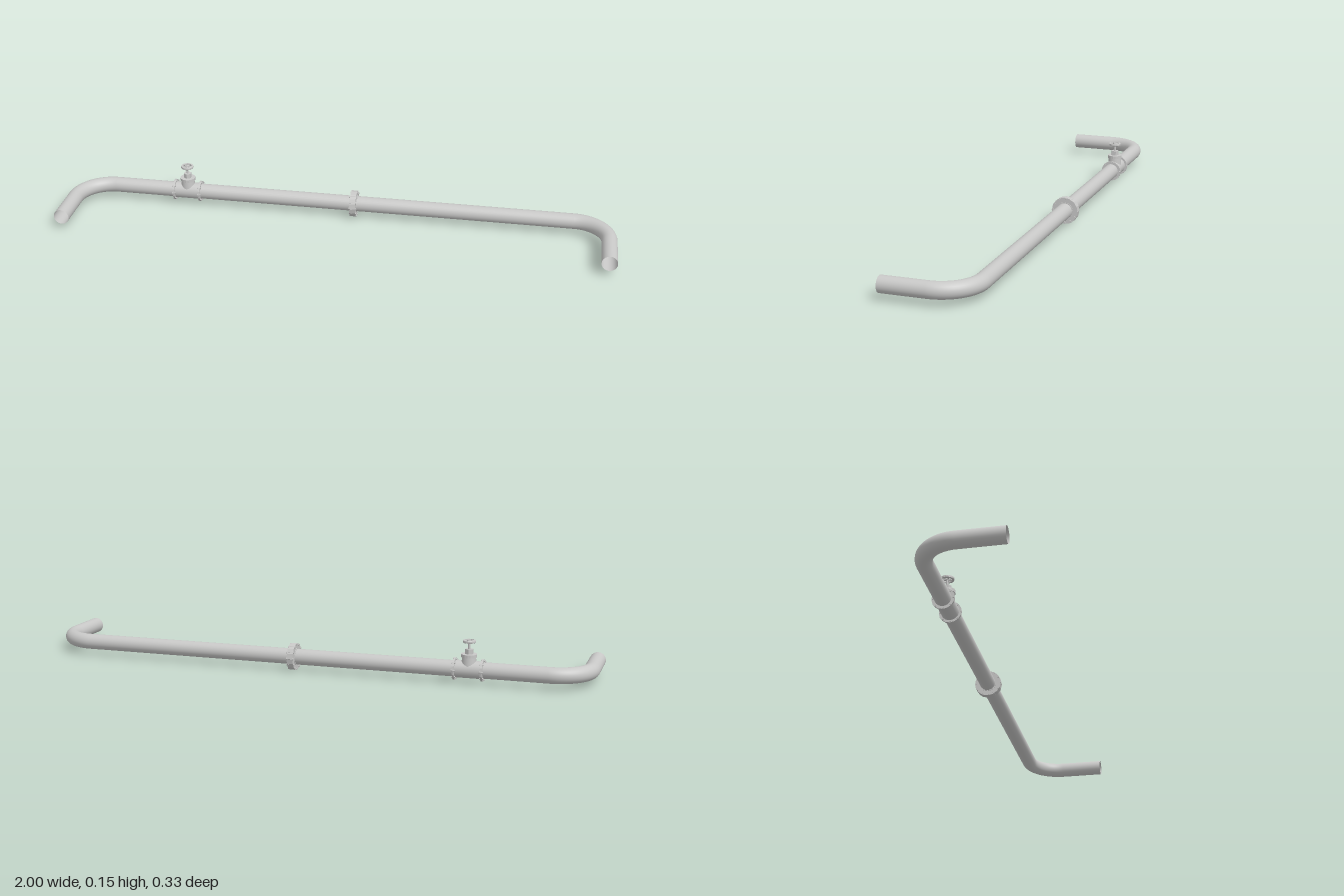
import * as THREE from 'three';

const Y = 0.049, Z = -0.116, R = 0.0278, END = 0.165, LEG = 0.972, BEND = 0.125;

export function createModel() {
  const model = new THREE.Group();
  model.name = 'pipeRun';
  const steel = new THREE.MeshStandardMaterial({ color: 0xc8c8c7, side: THREE.DoubleSide });
  steel.name = 'steel grey';

  const add = (parent, name, geometry, x = 0, y = 0, z = 0) => {
    const mesh = new THREE.Mesh(geometry, steel);
    mesh.name = name;
    mesh.position.set(x, y, z);
    parent.add(mesh);
    return mesh;
  };
  const cyl = (rTop, rBottom, h, sides, open = false) =>
    new THREE.CylinderGeometry(rTop, rBottom, h, sides, 1, open);
  const alongX = (g) => g.rotateZ(-Math.PI / 2);
  // Flat facets for the machined fittings
  const faceted = (g) => {
    const flat = g.toNonIndexed();
    flat.computeVertexNormals();
    return flat;
  };

  // Open-ended pipe: straight run, quarter bends and two forward legs
  const straight = LEG - BEND;
  add(model, 'straightPipe', alongX(cyl(R, R, straight * 2, 28, true)), 0, Y, Z);
  for (const side of [-1, 1]) {
    const name = side > 0 ? 'left' : 'right';
    const k = BEND * 0.5523;
    const arc = new THREE.CubicBezierCurve3(
      new THREE.Vector3(side * straight, Y, Z),
      new THREE.Vector3(side * (straight + k), Y, Z),
      new THREE.Vector3(side * LEG, Y, Z + BEND - k),
      new THREE.Vector3(side * LEG, Y, Z + BEND));
    add(model, name + 'Bend', new THREE.TubeGeometry(arc, 16, R, 28));
    const legLength = END - Z - BEND;
    add(model, name + 'Leg', cyl(R, R, legLength, 28, true).rotateX(Math.PI / 2),
      side * LEG, Y, END - legLength / 2);
  }

  // Ring of hexagonal bolts running through a flange
  const bolts = (parent, count, ringRadius, radius, length) => {
    for (let i = 0; i < count; i++) {
      const a = (i / count) * Math.PI * 2;
      add(parent, 'flangeBolt', faceted(alongX(cyl(radius, radius, length, 6))),
        0, Math.cos(a) * ringRadius, Math.sin(a) * ringRadius);
    }
  };

  // Bolted joint near the middle: a thick flange with a collar
  const joint = new THREE.Group();
  joint.name = 'pipeJoint';
  joint.position.set(0.051, Y, Z);
  model.add(joint);
  add(joint, 'jointFlange', faceted(alongX(cyl(0.0475, 0.0475, 0.022, 16))));
  add(joint, 'jointCollar', faceted(alongX(cyl(0.031, 0.031, 0.026, 16))));
  bolts(joint, 12, 0.0435, 0.0042, 0.026);

  // Valve body with thin end flanges
  const valve = new THREE.Group();
  valve.name = 'valve';
  valve.position.set(-0.575, Y, Z);
  model.add(valve);
  add(valve, 'valveBody', alongX(cyl(0.03, 0.03, 0.1, 20)));
  for (const s of [-1, 1]) {
    const flange = new THREE.Group();
    flange.name = 'valveFlange';
    flange.position.x = s * 0.048;
    valve.add(flange);
    add(flange, 'flangeDisc', faceted(alongX(cyl(0.038, 0.038, 0.007, 16))));
    bolts(flange, 8, 0.034, 0.003, 0.013);
  }

  // Bonnet, gland and stem
  add(valve, 'bonnetNeck', cyl(0.024, 0.027, 0.045, 16), 0, 0.0225);
  add(valve, 'bonnetFlange', faceted(cyl(0.0275, 0.0275, 0.011, 16)), 0, 0.0485);
  add(valve, 'gland', faceted(cyl(0.0145, 0.0145, 0.018, 6)), 0, 0.062);
  add(valve, 'stem', cyl(0.004, 0.004, 0.034, 10), 0, 0.085);

  // Handwheel: ring, hub and spokes
  const wheel = new THREE.Group();
  wheel.name = 'handwheel';
  wheel.position.y = 0.097;
  valve.add(wheel);
  const rim = [[0.016, -0.0042], [0.0215, -0.0042], [0.0225, -0.003], [0.0225, 0.003],
    [0.0215, 0.0042], [0.016, 0.0042], [0.016, -0.0042]].map(([x, y]) => new THREE.Vector2(x, y));
  add(wheel, 'wheelRim', faceted(new THREE.LatheGeometry(rim, 20)));
  add(wheel, 'wheelHub', faceted(cyl(0.007, 0.007, 0.009, 10)));
  for (let i = 0; i < 5; i++) {
    const a = (i / 5) * Math.PI * 2;
    const spoke = add(wheel, 'wheelSpoke', new THREE.BoxGeometry(0.013, 0.005, 0.004),
      Math.cos(a) * 0.0115, 0, -Math.sin(a) * 0.0115);
    spoke.rotation.y = a;
  }
  return model;
}
